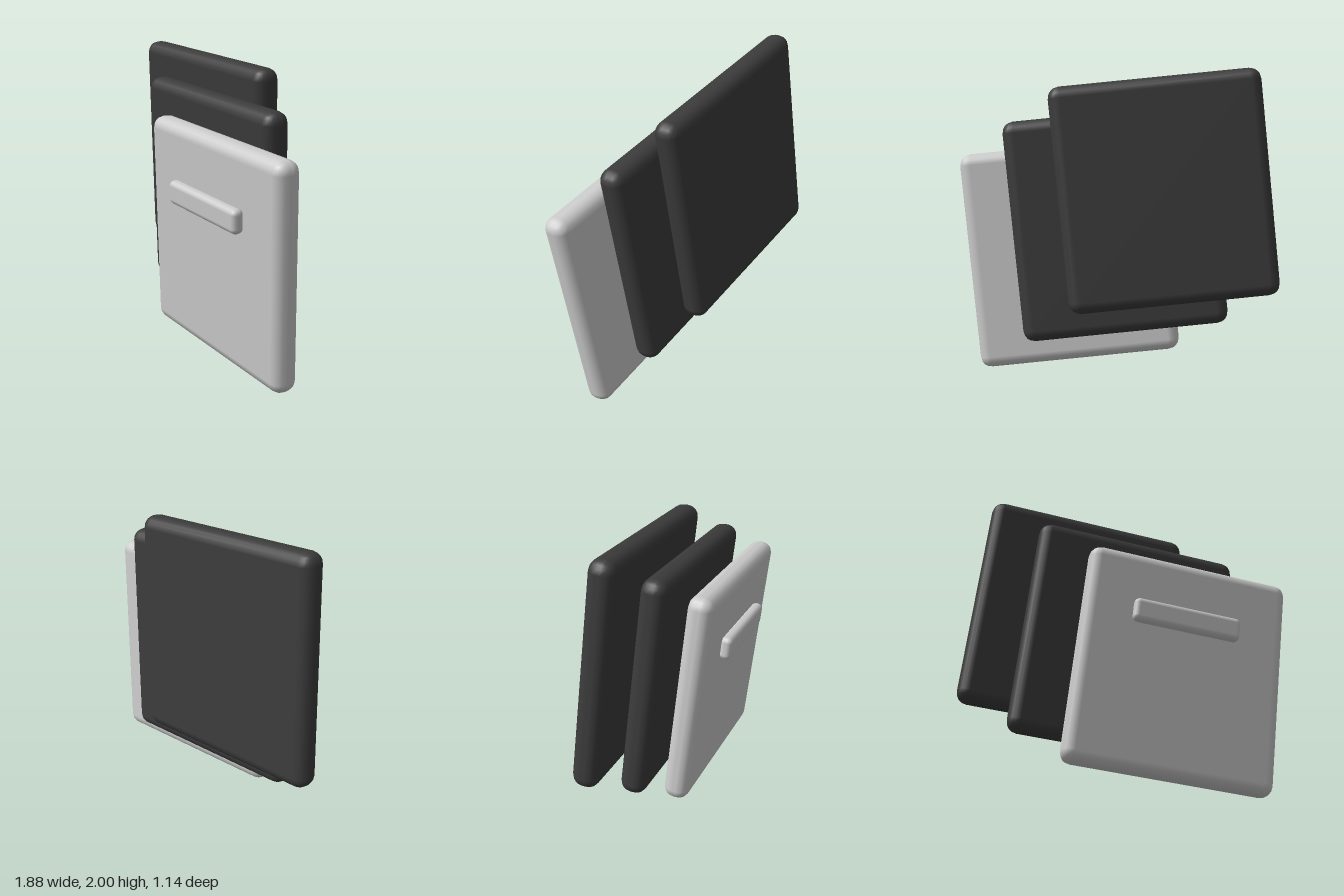
import * as THREE from 'three';
import { RoundedBoxGeometry } from 'three/addons/geometries/RoundedBoxGeometry.js';

export function createModel() {
  const model = new THREE.Group();
  model.name = 'cardStack';

  const darkGrey = new THREE.MeshStandardMaterial({ color: 0x3b3b3b });
  darkGrey.name = 'darkGrey';
  const lightGrey = new THREE.MeshStandardMaterial({ color: 0xcccccc });
  lightGrey.name = 'lightGrey';

  // Shared tilt of all slabs: across, up and outward directions
  const up = new THREE.Vector3(0.07, 1, 0.11).normalize();
  const out = new THREE.Vector3(1, -0.105, 0.295).cross(up).normalize();
  const across = new THREE.Vector3().crossVectors(up, out);
  const tilt = new THREE.Matrix4().makeBasis(across, up, out);

  // Three rounded slabs stepping back, up and to one side
  const slabGeometry = new RoundedBoxGeometry(1.35, 1.445, 0.17, 2, 0.075);
  const slabs = [
    ['backCard', darkGrey, -1],
    ['middleCard', darkGrey, 0],
    ['frontCard', lightGrey, 1],
  ];
  for (const [name, material, step] of slabs) {
    const card = new THREE.Group();
    card.name = name;
    const slab = new THREE.Mesh(slabGeometry, material);
    slab.name = name + 'Slab';
    card.add(slab);

    // Raised bar on the front slab only
    if (step === 1) {
      const bar = new THREE.Mesh(new RoundedBoxGeometry(0.71, 0.155, 0.08, 2, 0.035), material);
      bar.name = 'raisedBar';
      bar.position.set(-0.008, 0.3, 0.115);
      card.add(bar);
    }

    card.quaternion.setFromRotationMatrix(tilt);
    card.position.set(0.245 * step, 1 - 0.2225 * step, 0.2475 * step);
    model.add(card);
  }
  return model;
}
